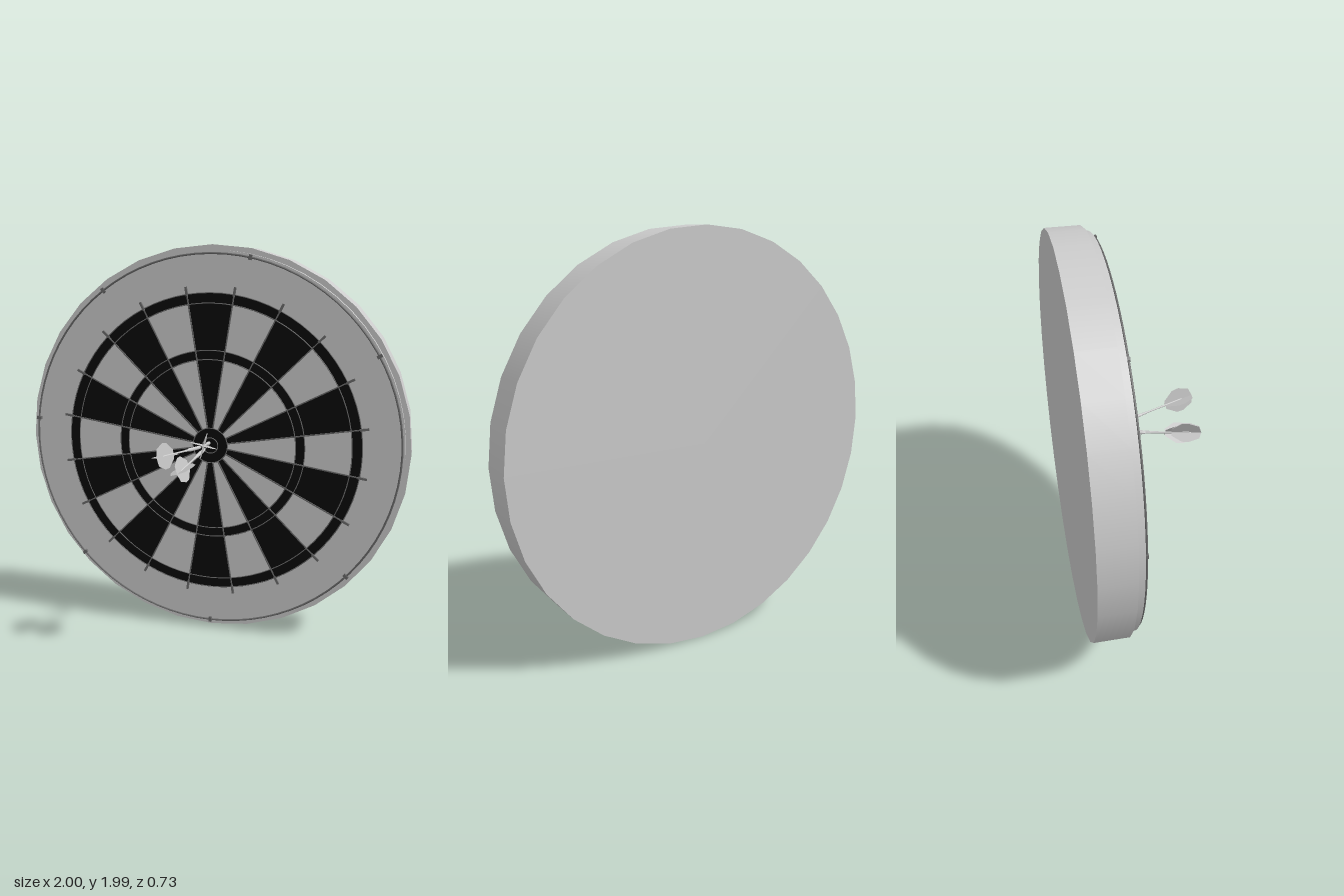
import * as THREE from 'three';

const mat = (name, color, side = THREE.FrontSide) => {
  const m = new THREE.MeshStandardMaterial({ color, side });
  m.name = name;
  return m;
};

export function createModel() {
  const white = mat('off white', 0xcccccc);
  const black = mat('black', 0x0a0a0a);
  const steel = mat('wire grey', 0x6a6a6a);
  const flightMat = mat('flight grey', 0xc4c4c4, THREE.DoubleSide);

  const add = (parent, name, geometry, material) => {
    const mesh = new THREE.Mesh(geometry, material);
    mesh.name = name;
    parent.add(mesh);
    return mesh;
  };

  const model = new THREE.Group();
  model.name = 'dartboard';

  // Board group: local z = 0 is the back, slightly turned about y
  const board = new THREE.Group();
  board.name = 'board';
  board.position.set(0.005, 1, -0.302);
  board.rotation.y = -0.068;
  model.add(board);

  const disc = (name, radius, depth, z, sides) => {
    const g = new THREE.CylinderGeometry(radius, radius, depth, sides).rotateX(Math.PI / 2);
    add(board, name, g, white).position.z = z + depth / 2;
  };
  disc('drum', 0.995, 0.168, 0, 32);
  disc('face', 0.968, 0.034, 0.167, 64);
  const faceZ = 0.201;

  // Black segments, rings and bull
  const step = Math.PI / 10;
  for (let i = 0; i < 20; i += 2) {
    const start = Math.PI / 2 - step / 2 + i * step;
    add(board, 'blackSegment', new THREE.RingGeometry(0.09, 0.74, 8, 1, start, step), black)
      .position.z = faceZ + 0.002;
  }
  for (const [name, inner, outer] of [['doubleRing', 0.715, 0.765], ['tripleRing', 0.438, 0.484]]) {
    add(board, name, new THREE.RingGeometry(inner, outer, 80), black).position.z = faceZ + 0.004;
  }
  add(board, 'bull', new THREE.CircleGeometry(0.09, 32), black).position.z = faceZ + 0.004;

  // Wire rings and the number hoop
  const hoop = (name, radius, tube) =>
    add(board, name, new THREE.TorusGeometry(radius, tube, 6, 80), steel).position.z = faceZ + 0.007;
  for (const r of [0.04, 0.09, 0.438, 0.484, 0.715, 0.765]) hoop('wireRing', r, 0.0025);
  hoop('numberHoop', 0.953, 0.005);

  // Radial wires with thicker hooked ends
  for (let i = 0; i < 20; i++) {
    const spoke = new THREE.Group();
    spoke.name = 'radialWire';
    spoke.rotation.z = (i + 0.5) * step;
    spoke.position.z = faceZ + 0.007;
    add(spoke, 'wire', new THREE.BoxGeometry(0.006, 0.705, 0.006), steel).position.y = 0.4425;
    add(spoke, 'wireEnd', new THREE.BoxGeometry(0.011, 0.045, 0.012), steel).position.y = 0.779;
    board.add(spoke);
  }

  // Clips holding the hoop
  for (const degrees of [30, 78, 126, 174, 222, 270, 318]) {
    const a = THREE.MathUtils.degToRad(degrees);
    const clip = add(board, 'hoopClip', new THREE.BoxGeometry(0.026, 0.016, 0.014), steel);
    clip.position.set(0.953 * Math.cos(a), 0.953 * Math.sin(a), faceZ + 0.006);
    clip.rotation.z = a;
  }

  // One dart, pointing along -z, with its tail at local z = length
  const finShape = new THREE.Shape();
  [[0, 0], [0.022, 0], [0.06, 0.05], [0.062, 0.085], [0.04, 0.135], [0, 0.145]]
    .forEach(([x, y], i) => (i ? finShape.lineTo(x, y) : finShape.moveTo(x, y)));
  const finGeometry = new THREE.ShapeGeometry(finShape).rotateX(Math.PI / 2);

  function addDart(name, tip, tail, roll) {
    const dart = new THREE.Group();
    dart.name = name;
    const from = new THREE.Vector3(...tip), to = new THREE.Vector3(...tail);
    const length = from.distanceTo(to);
    dart.position.copy(from);
    dart.lookAt(to);
    const profile = (part, points, material) => add(dart, part, new THREE.LatheGeometry(
      points.map(([r, z]) => new THREE.Vector2(r, z)), 10).rotateX(Math.PI / 2), material);
    profile('point', [[0, 0], [0.003, 0.02], [0.004, 0.08]], steel);
    profile('barrel', [[0, 0.08], [0.006, 0.08], [0.009, 0.1], [0.009, 0.18], [0.006, 0.2], [0, 0.2]], white);
    profile('shaft', [[0.006, 0.2], [0.006, 0.22], [0.0045, 0.23], [0.0045, length - 0.06], [0, length - 0.05]], white);
    for (let i = 0; i < 4; i++) {
      const fin = add(dart, 'flight', finGeometry, flightMat);
      fin.position.z = length - 0.145;
      fin.rotation.z = roll + i * Math.PI / 2;
    }
    model.add(dart);
  }
  addDart('leftDart', [-0.02, 1.0, -0.1], [-0.175, 1.03, 0.345], 0.2);
  addDart('middleDart', [-0.012, 1.005, -0.1], [-0.08, 0.955, 0.34], 0.35);
  addDart('rightDart', [-0.01, 1.015, -0.1], [0.045, 1.1, 0.365], -0.25);

  return model;
}
